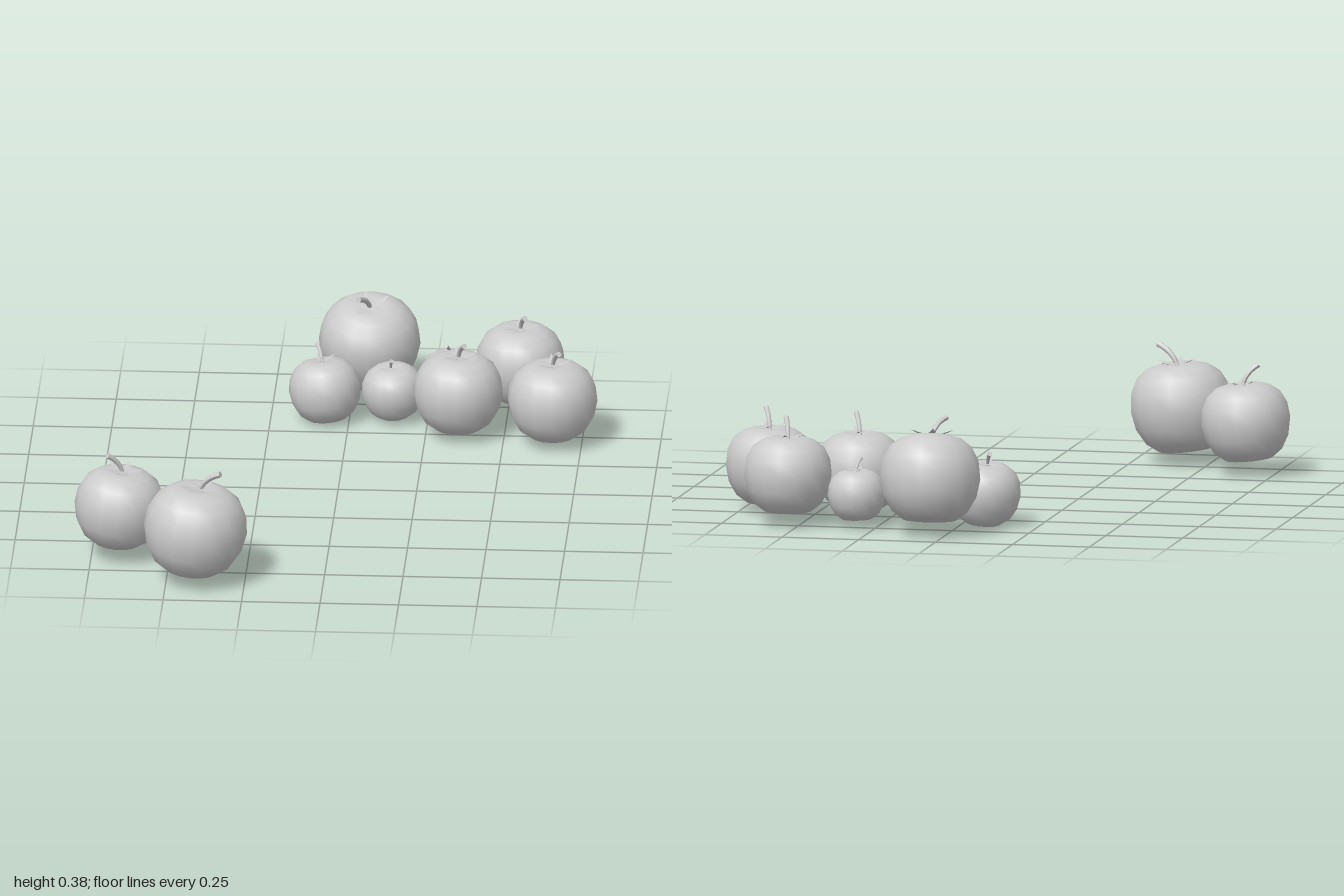
import * as THREE from 'three';

const material = new THREE.MeshStandardMaterial({ color: 0xcccccc, side: THREE.DoubleSide });

// Squat fruit of unit radius, flat underneath and dimpled at the top
function fruitGeometry() {
  const profile = [
    [0, -0.82], [0.28, -0.84], [0.52, -0.84], [0.76, -0.66], [0.93, -0.36], [1, 0],
    [0.96, 0.33], [0.82, 0.6], [0.6, 0.77], [0.36, 0.84], [0.16, 0.81], [0, 0.76],
  ].map(([r, y]) => new THREE.Vector2(r, y));
  return new THREE.LatheGeometry(profile, 16);
}

// Pointed leaf lying outward along +x, with its tip curling up
function leafGeometry() {
  const g = new THREE.PlaneGeometry(1, 1, 5, 2);
  g.rotateX(-Math.PI / 2);
  const p = g.attributes.position;
  for (let i = 0; i < p.count; i++) {
    const t = p.getX(i) + 0.5;
    const side = p.getZ(i) * 2;
    const halfWidth = 0.11 * (1 - t) * (1 + 0.6 * t);
    p.setXYZ(i, 0.46 * t, 0.84 + 0.03 * t + 0.05 * t ** 3 - 0.02 * Math.abs(side) * (1 - t), side * halfWidth);
  }
  g.computeVertexNormals();
  return g;
}

// Curved stalk leaning along +x, slightly thicker at the cut end
function stemGeometry() {
  const curve = new THREE.QuadraticBezierCurve3(
    new THREE.Vector3(0, 0.76, 0), new THREE.Vector3(0.06, 1.06, 0), new THREE.Vector3(0.4, 1.22, 0));
  const rings = 6, sides = 8;
  const g = new THREE.TubeGeometry(curve, rings, 0.055, sides);
  const p = g.attributes.position;
  const v = new THREE.Vector3();
  for (let i = 0; i < p.count; i++) {
    const t = Math.floor(i / (sides + 1)) / rings;
    const c = curve.getPointAt(t);
    v.fromBufferAttribute(p, i).sub(c).multiplyScalar(0.8 + 0.3 * t).add(c);
    p.setXYZ(i, v.x, v.y, v.z);
  }
  g.computeVertexNormals();
  return { tube: g, end: curve.getPointAt(1), direction: curve.getTangentAt(1) };
}

export function createModel() {
  const model = new THREE.Group();
  model.name = 'tomatoes';
  const fruit = fruitGeometry();
  const leaf = leafGeometry();
  const stem = stemGeometry();
  const cap = new THREE.CircleGeometry(0.06, 8);

  const add = (parent, geometry, name) => {
    const mesh = new THREE.Mesh(geometry, material);
    mesh.name = name;
    parent.add(mesh);
    return mesh;
  };

  // x, y, z, radius, stem direction (x, z), lean of the top (x, z)
  const tomatoes = [
    [-0.66, 0.17, 0.625, 0.144, -0.9, 0.4, 0.09, 0],
    [-0.407, 0.18, 0.83, 0.165, 0.9, 0.35, 0.1, 0],
    [0.052, 0.182, -0.838, 0.162, -0.55, 0.83, 0.03, 0.25],
    [-0.077, 0.103, -0.61, 0.115, -0.3, -0.95, -0.1, -0.1],
    [0.138, 0.099, -0.62, 0.099, 0.3, 0.9, -0.08, 0.1],
    [0.312, 0.105, -0.743, 0.093, -0.3, 0.9, 0.03, 0],
    [0.538, 0.162, -0.732, 0.142, 0.3, 0.9, 0, 0.04],
    [0.353, 0.147, -0.5, 0.143, 0.4, 0.9, 0, 0],
    [0.657, 0.147, -0.448, 0.143, 0.4, 0.9, 0, 0],
  ];

  for (const [x, y, z, radius, sx, sz, leanX, leanZ] of tomatoes) {
    const tomato = new THREE.Group();
    tomato.name = 'tomato';
    tomato.position.set(x, y, z);
    tomato.scale.setScalar(radius);
    tomato.rotation.set(leanZ, 0, -leanX);
    model.add(tomato);

    add(tomato, fruit, 'fruit');

    // Stalk and five-leaved calyx turn together
    const crown = new THREE.Group();
    crown.name = 'crown';
    crown.rotation.y = Math.atan2(-sz, sx);
    tomato.add(crown);
    add(crown, stem.tube, 'stem');
    const end = add(crown, cap, 'stemEnd');
    end.position.copy(stem.end);
    end.quaternion.setFromUnitVectors(new THREE.Vector3(0, 0, 1), stem.direction);
    for (const degrees of [3, 80, 163, 230, 292]) {
      add(crown, leaf, 'leaf').rotation.y = THREE.MathUtils.degToRad(degrees);
    }
  }
  return model;
}
